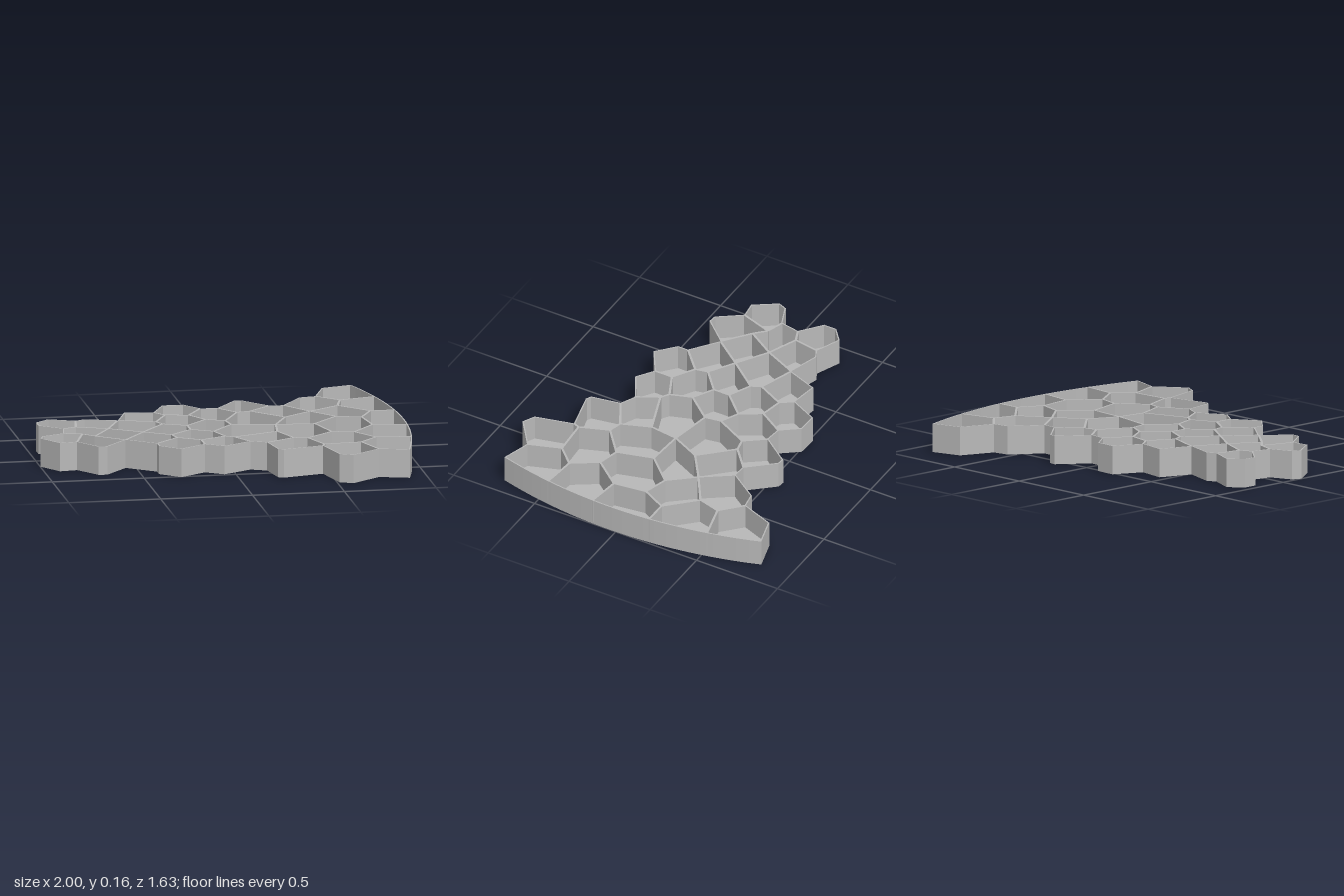
import * as THREE from 'three';

const HEIGHT = 0.155, FLOOR = 0.012, WALL = 0.012, RIM = 0.007;

// Ragged edge of the tray as x, z pairs, from the back right corner round to the front right corner
const rimXZ = [
  0.86, -0.82, 0.695, -0.775, 0.625, -0.59, 0.535, -0.575, 0.42, -0.41, 0.345, -0.415,
  0.22, -0.56, 0.18, -0.565, 0.06, -0.405, -0.03, -0.415, -0.105, -0.515, -0.22, -0.52,
  -0.295, -0.365, -0.45, -0.39, -0.515, -0.215, -0.69, -0.27, -0.74, -0.245, -0.88, -0.305,
  -0.957, -0.24, -0.957, -0.165, -0.84, -0.07, -0.86, 0.037, -0.98, 0.085, -1, 0.135,
  -0.915, 0.262, -0.82, 0.25, -0.727, 0.38, -0.68, 0.385, -0.555, 0.245, -0.405, 0.36,
  -0.405, 0.42, -0.3, 0.513, -0.155, 0.422, -0.06, 0.487, 0.097, 0.4, 0.18, 0.44,
  0.21, 0.605, 0.24, 0.62, 0.46, 0.567, 0.513, 0.78, 0.583, 0.815, 0.743, 0.695, 0.903, 0.743,
];

// Inner points where cell walls meet, as x, z pairs
const jointXZ = [
  -0.765, -0.1, -0.6, -0.03, -0.76, 0.07, -0.7, 0.13, -0.43, 0.08, -0.32, -0.145,
  -0.245, -0.295, -0.295, -0.09, -0.12, -0.27, -0.05, -0.155, -0.17, -0.03, -0.17, 0.065,
  -0.29, 0.17, -0.275, 0.24, -0.155, 0.315, -0.055, 0.13, -0.015, 0.25, 0.03, 0.28,
  0.05, -0.105, 0.065, -0.015, 0.145, -0.29, 0.22, -0.305, 0.38, -0.135, 0.3, 0.03,
  0.28, 0.19, 0.34, 0.35, 0.415, 0.37, 0.51, 0.045, 0.565, 0.245, 0.685, 0.275,
  0.65, -0.105, 0.535, -0.245, 0.705, -0.355, 0.74, -0.48, 0.855, -0.2, 0.785, -0.065,
  0.81, 0.12, 0.775, 0.415, 0.68, 0.515, 0.475, 0.53,
];

// Wall runs: r = rim point, j = joint, a = point on the curved side at that z
const runs = [
  'r16 j0 r20', 'r14 j1 j0', 'j1 j3 j2 r21', 'j2 r25', 'j3 r28 j4 j1', 'r14 j5 j7 j4 j12',
  'r12 j6 j5', 'j6 j8 j9 j10 j7', 'r9 j8', 'j10 j11 j12 j13 r29', 'j13 j14 r32',
  'j11 j15 j16 j14', 'j16 j17 r34', 'j9 j18 j19 j15', 'r8 j20 j18', 'j20 j21 r5',
  'j21 j22 j23 j19', 'j17 j24 j23 j27', 'j24 j25 r35', 'j25 j26 j28 j27 j30 j31 j22',
  'j26 j39 r38', 'j39 j38 r41', 'j38 j37 j29 j28', 'j37 a0.435', 'j29 j36 j35 j30',
  'j36 a0.145', 'j35 j34 j32 j31 r4', 'j34 a-0.2', 'j32 j33 r2', 'j33 a-0.53',
];

const toPoints = (list) =>
  Array.from({ length: list.length / 2 }, (_, i) => new THREE.Vector2(list[2 * i], list[2 * i + 1]));

// Point on the large arc that bounds the right side
const arcPoint = (z) => new THREE.Vector2(-1.66 + Math.sqrt(2.66 ** 2 - (z - 0.03) ** 2), z);

// Moves a closed outline inwards by d with mitred corners
function inset(points, d) {
  const n = points.length;
  return points.map((p, i) => {
    const a = p.clone().sub(points[(i + n - 1) % n]).normalize();
    const b = points[(i + 1) % n].clone().sub(p).normalize();
    const na = new THREE.Vector2(-a.y, a.x), nb = new THREE.Vector2(-b.y, b.x);
    return p.clone().addScaledVector(na.clone().add(nb), d / (1 + na.dot(nb)));
  });
}

// Extrudes a plan shape upwards
function extrudeUp(shape, height) {
  const geo = new THREE.ExtrudeGeometry(shape, { depth: height, bevelEnabled: false });
  return geo.rotateX(-Math.PI / 2);
}

export function createModel() {
  const group = new THREE.Group();
  group.name = 'cellTray';
  const grey = new THREE.MeshStandardMaterial({ color: 0xb8b8b8 });
  grey.name = 'plain grey';

  const add = (name, geometry, parent = group) => {
    const mesh = new THREE.Mesh(geometry, grey);
    mesh.name = name;
    parent.add(mesh);
    return mesh;
  };

  const rim = toPoints(rimXZ), joints = toPoints(jointXZ);

  // Closed outline: ragged edge plus the smooth arc
  const outline = rim.slice();
  const steps = 24;
  for (let i = 1; i < steps; i++) outline.push(arcPoint(0.743 - (1.563 * i) / steps));
  const plan = outline.map((p) => new THREE.Vector2(p.x, -p.y));

  // Floor plate
  add('floor', extrudeUp(new THREE.Shape(plan), FLOOR));

  // Thin wall round the outside
  const ring = new THREE.Shape(plan);
  ring.holes.push(new THREE.Path(inset(plan, RIM)));
  add('outerWall', extrudeUp(ring, HEIGHT));

  // Walls between the cells
  const walls = new THREE.Group();
  walls.name = 'cellWalls';
  group.add(walls);
  const find = (key) => {
    const n = Number(key.slice(1));
    return key[0] === 'r' ? rim[n] : key[0] === 'j' ? joints[n] : arcPoint(n);
  };
  for (const run of runs) {
    const points = run.split(' ').map(find);
    for (let i = 1; i < points.length; i++) {
      const a = points[i - 1], b = points[i];
      const wall = add('cellWall', new THREE.BoxGeometry(a.distanceTo(b), HEIGHT - FLOOR, WALL), walls);
      wall.position.set((a.x + b.x) / 2, (HEIGHT + FLOOR) / 2, (a.y + b.y) / 2);
      wall.rotation.y = -Math.atan2(b.y - a.y, b.x - a.x);
    }
  }
  return group;
}
